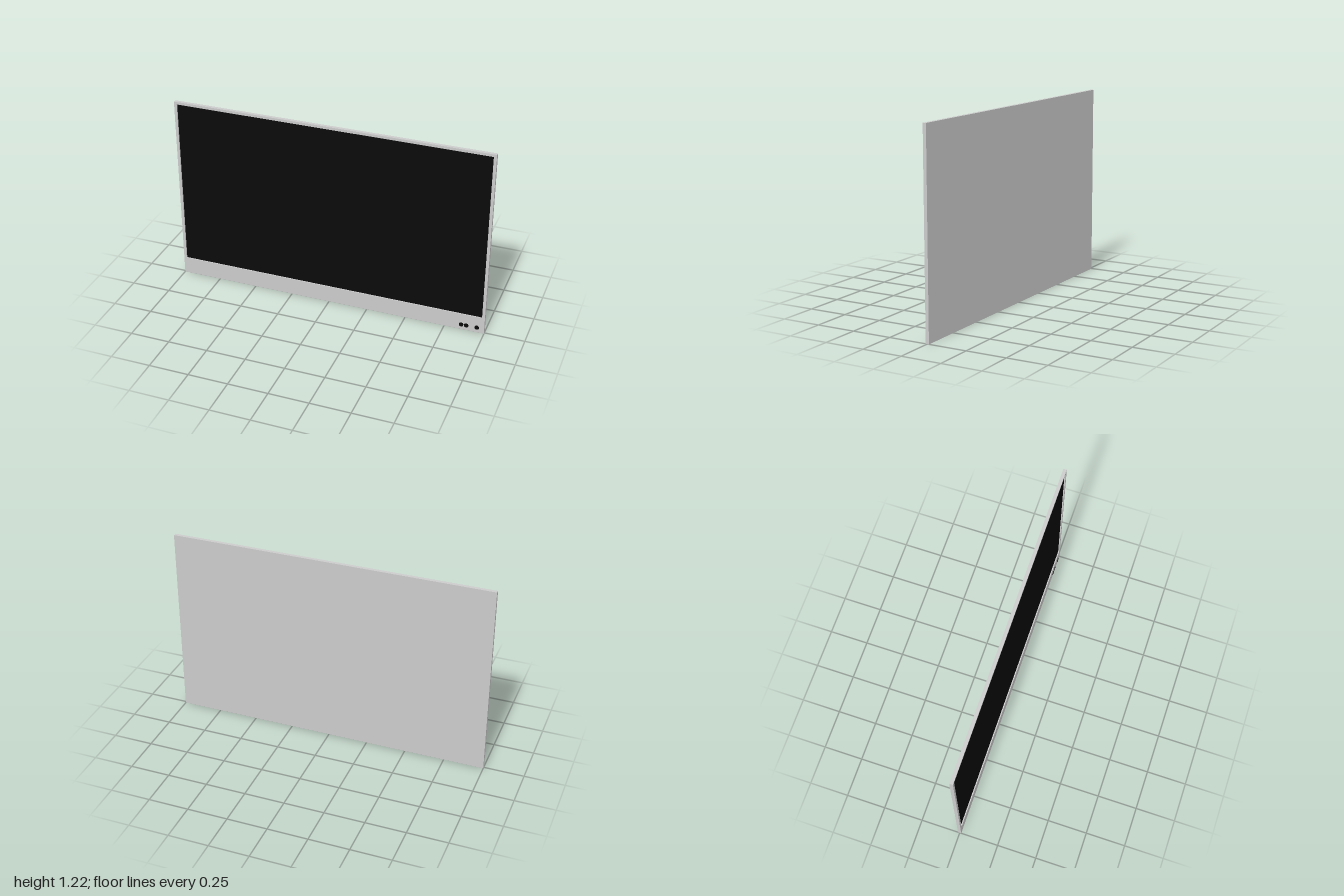
import * as THREE from 'three';

const BACK = -0.011, FACE = 0.01, RECESS = 0.007;
const HEIGHT = 1.218;

function rectPoints(x, y0, y1) {
  return [[-x, y0], [x, y0], [x, y1], [-x, y1]].map(([a, b]) => new THREE.Vector2(a, b));
}

export function createModel() {
  const group = new THREE.Group();
  group.name = 'flatPanelDisplay';
  const grey = new THREE.MeshStandardMaterial({ color: 0xcccccc });
  const black = new THREE.MeshStandardMaterial({ color: 0x0a0a0a });

  const add = (name, geometry, material, x, y, z) => {
    const mesh = new THREE.Mesh(geometry, material);
    mesh.name = name;
    mesh.position.set(x, y, z);
    group.add(mesh);
    return mesh;
  };

  // Casing with a window: narrow top and side borders, deep chin
  const outline = new THREE.Shape(rectPoints(1, 0, HEIGHT));
  outline.holes.push(new THREE.Path(rectPoints(0.982, 0.11, 1.202)));
  const casing = new THREE.ExtrudeGeometry(outline, { depth: FACE - BACK, bevelEnabled: false });
  add('casing', casing, grey, 0, 0, BACK);

  // Back panel closing the window from behind
  const backDepth = 0.006;
  add('backPanel', new THREE.BoxGeometry(1.964, 1.092, backDepth), grey, 0, 0.656, BACK + backDepth / 2);

  // Screen set slightly behind the front face
  const screenDepth = FACE - RECESS - BACK - backDepth;
  add('screen', new THREE.BoxGeometry(1.964, 1.092, screenDepth), black, 0, 0.656, FACE - RECESS - screenDepth / 2);

  // Round buttons at the lower corner: a pair and a single one
  const button = new THREE.CylinderGeometry(0.014, 0.014, 0.006, 32).rotateX(Math.PI / 2);
  for (const x of [0.856, 0.888, 0.954]) add('button', button, black, x, 0.035, FACE);

  return group;
}
